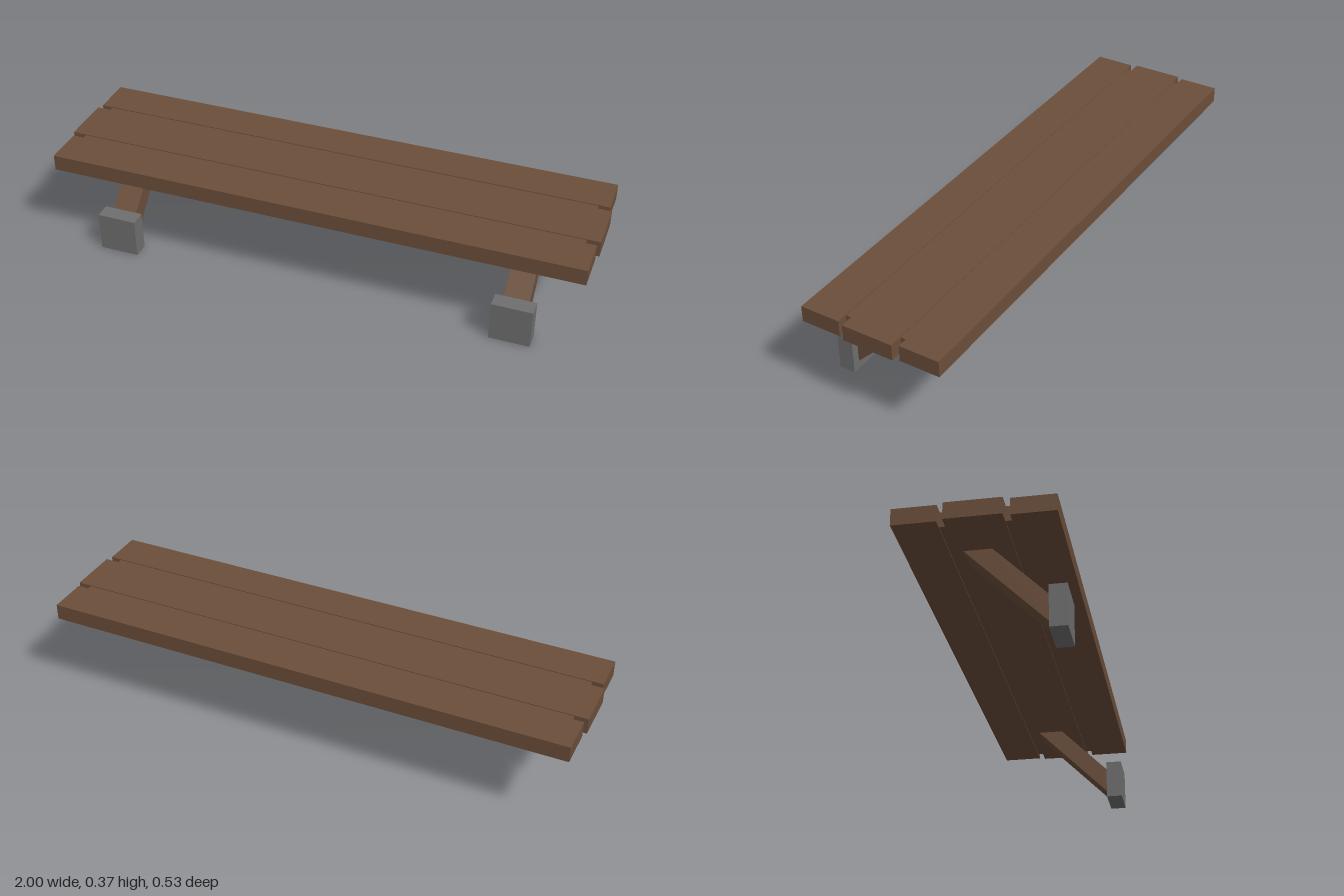
import * as THREE from 'three';

const wood = new THREE.MeshStandardMaterial({ name: 'brownWood', color: 0x6b4e3a });
const metal = new THREE.MeshStandardMaterial({ name: 'greyMetal', color: 0x6e6e6e });

// Box given by its lower and upper corners
function box(name, material, [x0, y0, z0], [x1, y1, z1]) {
  const mesh = new THREE.Mesh(new THREE.BoxGeometry(x1 - x0, y1 - y0, z1 - z0), material);
  mesh.position.set((x0 + x1) / 2, (y0 + y1) / 2, (z0 + z1) / 2);
  mesh.name = name;
  return mesh;
}

// Slanted brace: a side profile in (z, y), extruded across x
function brace(width) {
  const profile = new THREE.Shape([
    [0.208, 0.031], [0.208, 0.127], [0.022, 0.313], [-0.074, 0.313],
  ].map(([z, y]) => new THREE.Vector2(z, y)));
  const geometry = new THREE.ExtrudeGeometry(profile, { depth: width, bevelEnabled: false });
  geometry.translate(0, 0, -width / 2).rotateY(-Math.PI / 2);
  const mesh = new THREE.Mesh(geometry, wood);
  mesh.name = 'brace';
  return mesh;
}

export function createModel() {
  const bench = new THREE.Group();
  bench.name = 'wallBench';

  // Three seat planks, the middle one slightly longer
  const planks = [
    ['frontPlank', 0.99, 0.115, 0.263],
    ['middlePlank', 1, -0.097, 0.093],
    ['backPlank', 0.99, -0.266, -0.118],
  ];
  for (const [name, x, z0, z1] of planks) {
    bench.add(box(name, wood, [-x, 0.313, z0], [x, 0.373, z1]));
  }

  // Recessed strips filling the gaps between planks
  for (const [z0, z1] of [[0.093, 0.115], [-0.118, -0.097]]) {
    bench.add(box('gapStrip', wood, [-0.95, 0.316, z0], [0.95, 0.37, z1]));
  }

  // Mirrored supports: slanted brace on an upright mounting block
  for (const side of [-1, 1]) {
    const support = new THREE.Group();
    support.name = side > 0 ? 'leftSupport' : 'rightSupport';
    support.position.x = side * 0.754;
    support.add(brace(0.092));
    support.add(box('mountingBlock', metal, [-0.074, 0, 0.208], [0.074, 0.149, 0.268]));
    bench.add(support);
  }

  return bench;
}
